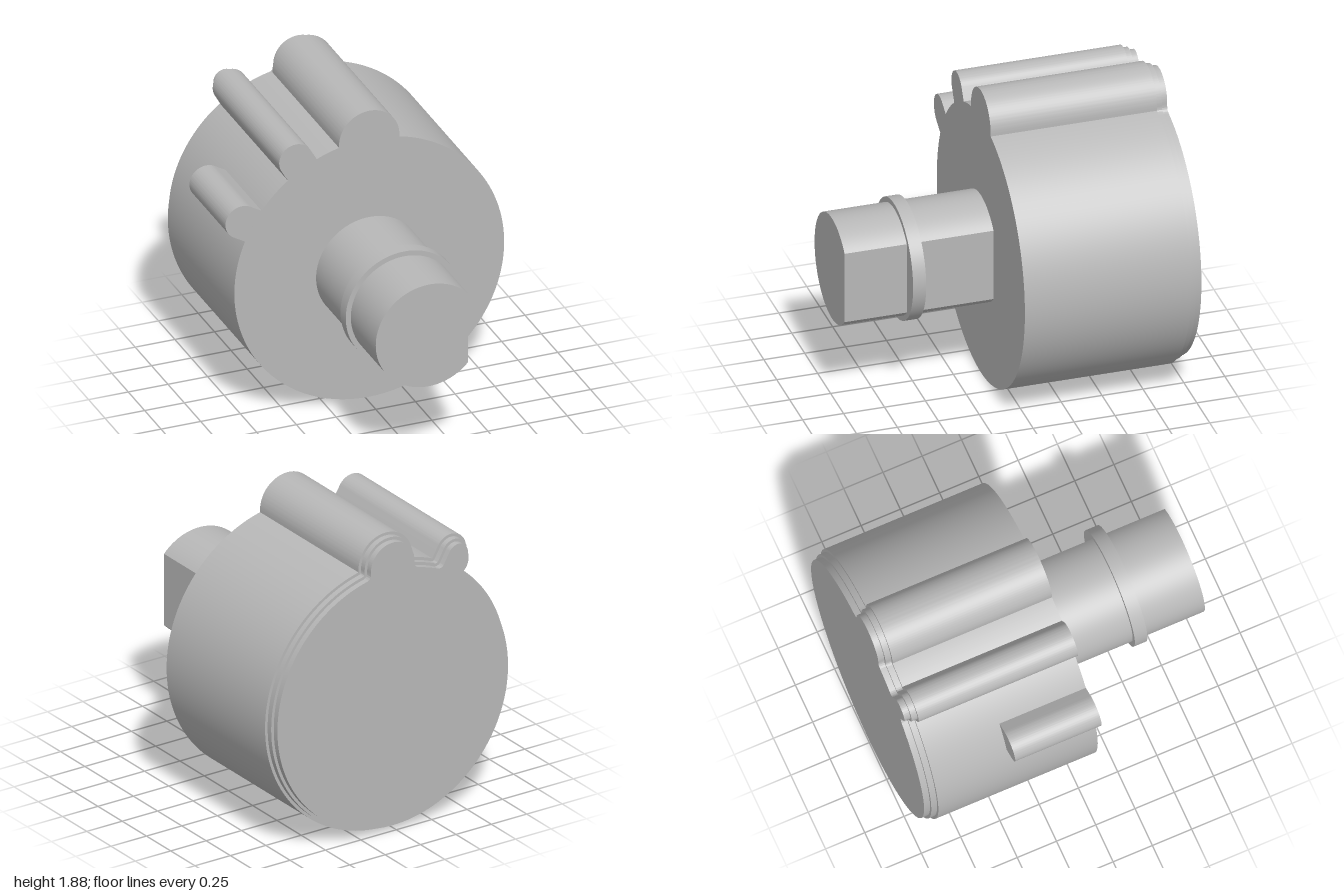
import * as THREE from 'three';
import { toCreasedNormals } from 'three/addons/utils/BufferGeometryUtils.js';

const CX = 0.025, CY = 0.85, R = 0.85;
const HALF = Math.PI / 2, DEG = Math.PI / 180;

// Ribs on the housing rim: angle, distance of the round tip from the axis, half width
const WIDE_RIB = { a: 90 * DEG, dist: 0.845, w: 0.19 };
const SLIM_RIB = { a: 120 * DEG, dist: 0.925, w: 0.105 };
const SHORT_RIB = { a: 150 * DEG, dist: 0.925, w: 0.105 };

const polar = (r, a) => [r * Math.cos(a), r * Math.sin(a)];

// Housing outline with two ribs, offset inward by d
function housingOutline(d) {
  const shape = new THREE.Shape();
  let start = -HALF;
  for (const { a, dist, w } of [WIDE_RIB, SLIM_RIB]) {
    const spread = Math.asin(w / R);
    const lo = a - spread, hi = a + spread;
    shape.absarc(0, 0, R - d, start, lo, false);
    if (d > 0) shape.absarc(...polar(R, lo), d, lo + Math.PI, a + HALF, true);
    shape.absarc(...polar(dist, a), w - d, a - HALF, a + HALF, false);
    if (d > 0) shape.absarc(...polar(R, hi), d, a - HALF, hi - Math.PI, true);
    start = hi;
  }
  shape.absarc(0, 0, R - d, start, 1.5 * Math.PI, false);
  return shape;
}

// Rib standing on the round rim
function ribOutline({ a, dist, w }) {
  const spread = Math.asin(w / R);
  const shape = new THREE.Shape();
  shape.absarc(...polar(dist, a), w, a - HALF, a + HALF, false);
  shape.absarc(0, 0, R, a + spread, a - spread, true);
  return shape;
}

// Round shaft section with one flat on +x
function shaftOutline(r, flatX) {
  const t = Math.acos(flatX / r);
  const shape = new THREE.Shape();
  shape.absarc(0, 0, r, t, 2 * Math.PI - t, false);
  shape.closePath();
  return shape;
}

export function createModel() {
  const group = new THREE.Group();
  const grey = new THREE.MeshStandardMaterial({ color: 0xb8b8b8 });
  grey.name = 'plain grey';

  // Extrudes an outline along z between two planes
  function add(name, shape, z0, z1) {
    const geo = new THREE.ExtrudeGeometry(shape, { depth: z1 - z0, bevelEnabled: false, curveSegments: 40 });
    const mesh = new THREE.Mesh(toCreasedNormals(geo, 0.4), grey);
    mesh.name = name;
    mesh.position.set(CX, CY, z0);
    group.add(mesh);
  }

  // Housing with two stepped layers at the back
  add('housing', housingOutline(0), -0.925, 0.09);
  add('rearStep', housingOutline(0.018), -0.962, -0.925);
  add('rearPlate', housingOutline(0.036), -1, -0.962);
  add('shortRib', ribOutline(SHORT_RIB), -0.46, 0.09);

  // Output shaft and its collar
  add('shaft', shaftOutline(0.335, 0.245), 0.09, 1);
  const collar = new THREE.Mesh(new THREE.CylinderGeometry(0.367, 0.367, 0.08, 80), grey);
  collar.name = 'collar';
  collar.rotation.x = HALF;
  collar.position.set(CX, CY, 0.58);
  group.add(collar);

  return group;
}
